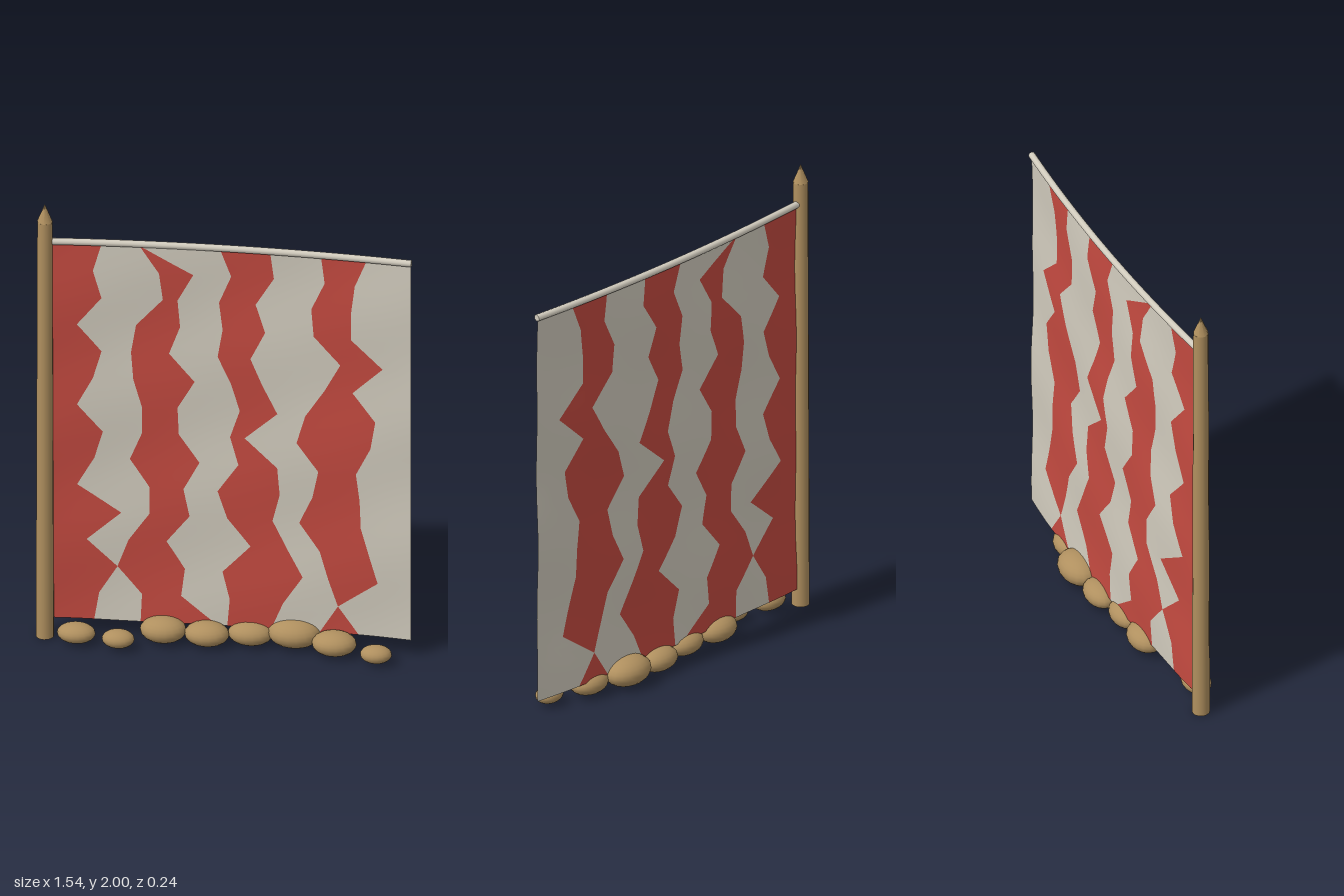
import * as THREE from 'three';

const mat = (name, color, side = THREE.FrontSide) => {
  const m = new THREE.MeshStandardMaterial({ color, side });
  m.name = name;
  return m;
};

// Shared bow of the rod and cloth, and the soft ripples of the cloth
const bow = (x) => -0.008 - 0.032 * (1 - ((x - 0.03) / 0.75) ** 2);
const ripple = (x, y) => 0.005 * Math.sin(7 * x + 2.1 * y) * Math.sin(4.3 * y + 3 * x) + 0.003 * Math.sin(11 * y - 5 * x);

// Zigzag stripe edges, each listed from the top row to the bottom row
const ROWS = 14, TOP = 1.82, BOTTOM = 0.08;
const STRIPE_EDGES = [
  [-.505, -.54, -.505, -.605, -.505, -.54, -.605, -.50, -.535, -.605, -.425, -.565, -.44, -.515, -.535],
  [-.35, -.27, -.255, -.365, -.385, -.375, -.34, -.34, -.39, -.31, -.31, -.395, -.44, -.34, -.345],
  [-.35, -.13, -.195, -.185, -.23, -.125, -.195, -.19, -.105, -.17, -.145, -.24, -.165, -.18, -.03],
  [-.02, .025, -.025, -.01, -.03, .025, .06, .02, .055, -.03, .01, .105, -.01, .02, .01],
  [.185, .2, .125, .165, .105, .155, .215, .08, .215, .225, .195, .255, .32, .24, .19],
  [.395, .41, .355, .365, .475, .41, .33, .295, .385, .36, .305, .39, .425, .465, .39],
  [.585, .535, .52, .52, .65, .525, .62, .6, .54, .555, .56, .595, .63, .465, .55],
];

// One smooth sheet, with a material group for each stripe
function clothGeometry() {
  const edges = [Array(ROWS + 1).fill(-0.715), ...STRIPE_EDGES, Array(ROWS + 1).fill(0.768)];
  const bands = edges.length - 1, sub = 4, rowSub = 3;
  const cols = bands * sub, rows = ROWS * rowSub;
  const pos = [], index = [];
  for (let r = 0; r <= rows; r++) {
    const y = TOP + (BOTTOM - TOP) * r / rows;
    const k = Math.min(Math.floor(r / rowSub), ROWS - 1), t = r / rowSub - k;
    const xs = edges.map((e) => e[k] + (e[k + 1] - e[k]) * t);
    for (let c = 0; c <= cols; c++) {
      const b = Math.min(Math.floor(c / sub), bands - 1);
      const x = xs[b] + (xs[b + 1] - xs[b]) * (c / sub - b);
      pos.push(x, y, bow(x) + ripple(x, y));
    }
  }
  const g = new THREE.BufferGeometry();
  for (let b = 0; b < bands; b++) {
    const start = index.length;
    for (let r = 0; r < rows; r++) {
      for (let c = b * sub; c < (b + 1) * sub; c++) {
        const i = r * (cols + 1) + c, j = i + cols + 1;
        index.push(i, j, i + 1, i + 1, j, j + 1);
      }
    }
    g.addGroup(start, index.length - start, b % 2);
  }
  g.setAttribute('position', new THREE.Float32BufferAttribute(pos, 3));
  g.setIndex(index);
  g.computeVertexNormals();
  return g;
}

export function createModel() {
  const group = new THREE.Group();
  const wood = mat('tan wood and stone', 0xb0905f);
  const pale = mat('off white', 0xd2ccbe, THREE.DoubleSide);
  const red = mat('faded red', 0xc44a40, THREE.DoubleSide);
  const add = (name, geometry, material, x = 0, y = 0, z = 0) => {
    const m = new THREE.Mesh(geometry, material);
    m.name = name;
    m.position.set(x, y, z);
    group.add(m);
    return m;
  };

  // Upright pole with a sharpened tip
  add('pole', new THREE.CylinderGeometry(0.031, 0.037, 1.92, 14), wood, -0.735, 0.96, -0.004);
  const tip = new THREE.ConeGeometry(0.032, 0.08, 8);
  add('poleTip', tip, wood, -0.735, 1.96, -0.004);

  // Bowed top rod with rounded-off caps
  const points = [];
  for (let i = 0; i <= 10; i++) {
    const x = -0.735 + 1.505 * i / 10;
    points.push(new THREE.Vector3(x, 1.827, bow(x)));
  }
  add('topRod', new THREE.TubeGeometry(new THREE.CatmullRomCurve3(points), 24, 0.0145, 10), pale);
  for (const [i, turn] of [[0, -1], [10, 1]]) {
    const cap = add('rodCap', new THREE.CircleGeometry(0.0145, 10), pale, ...points[i].toArray());
    cap.rotation.y = turn * Math.PI / 2;
  }

  // Striped cloth
  add('cloth', clothGeometry(), [red, pale]);

  // Stones weighing down the lower edge: centre, then radii
  const stones = [
    [-.60, .049, .043, .079, .042, .058],
    [-.425, .046, .066, .067, .038, .051],
    [-.25, .06, -.012, .095, .055, .071],
    [-.07, .056, -.005, .092, .051, .068],
    [.105, .054, -.037, .092, .05, .064],
    [.285, .067, -.042, .11, .062, .081],
    [.455, .056, .01, .092, .051, .07],
    [.633, .044, .058, .065, .037, .05],
  ];
  for (const [x, y, z, rx, ry, rz] of stones) {
    add('stone', new THREE.SphereGeometry(1, 18, 12), wood, x, y, z).scale.set(rx, ry, rz);
  }
  return group;
}
